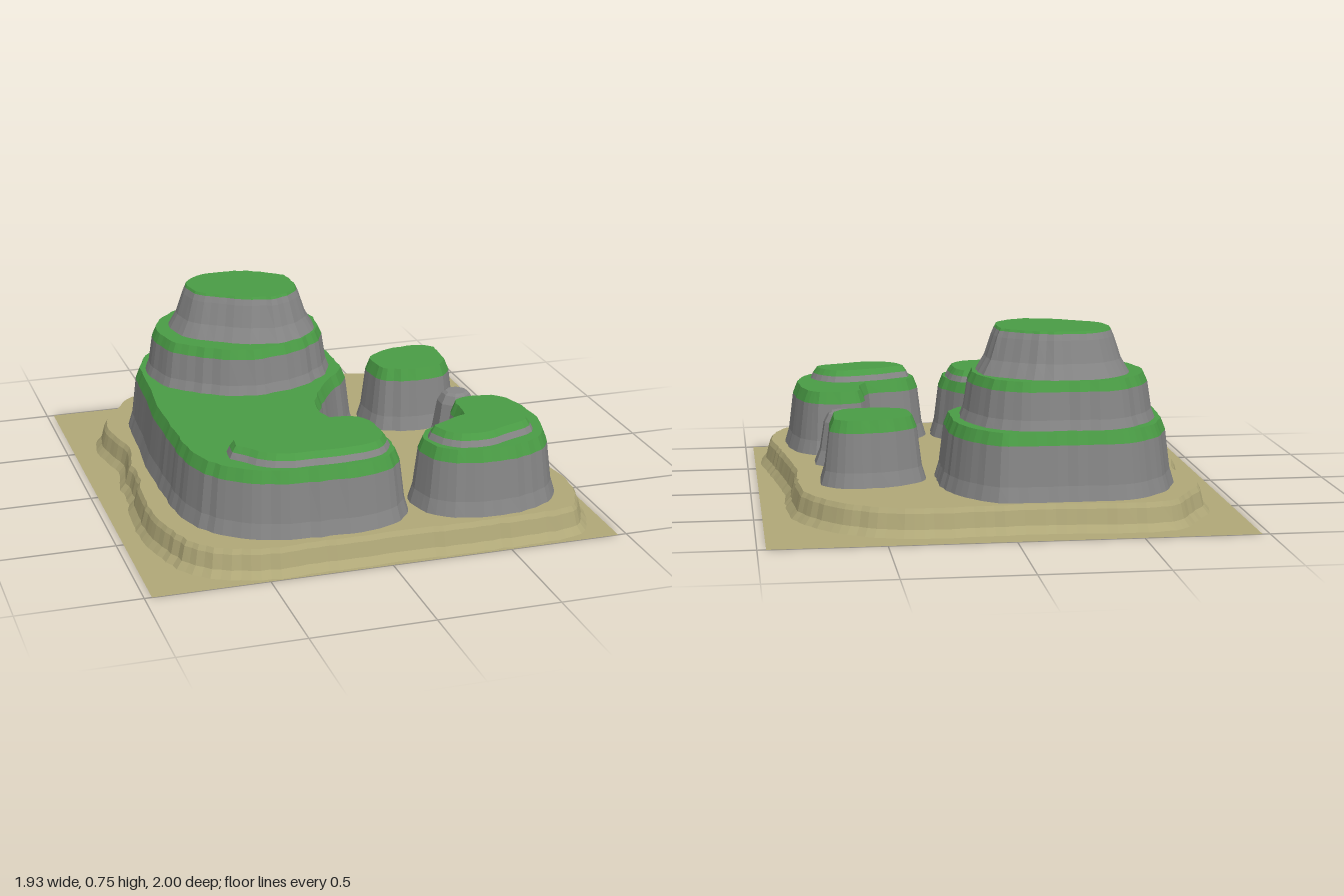
import * as THREE from 'three';

// Outlines in hundredths of a unit, x and z alternating, walked from the back edge towards +x
const OUTLINES = {
  beach: [-65,-89, -8,-89, 11,-90, 43,-90, 61,-82, 74,-70, 83,-55, 86,-34, 86,-2, 89,24, 92,45, 94,66, 90,83, 82,95,
    56,98, -29,98, -45,99, -63,95, -78,85, -84,72, -88,56, -89,29, -86,8, -86,-8, -83,-26, -86,-39, -86,-58, -79,-71],
  plateau: [-47,-82, -24,-82, 3,-81, 11,-75, 18,-66, 23,-53, 24,-34, 23,-21, 13,-7, 6,4, 1,13, -1,24, 1,35, 8,45, 14,55,
    16,66, 14,77, 7,85, -5,89, -39,88, -55,82, -66,73, -72,61, -75,45, -76,24, -76,3, -74,-24, -73,-45, -70,-58, -63,-70, -55,-78],
  middleTier: [-45,-73, -26,-74, -7,-73, 5,-66, 12,-53, 15,-37, 11,-21, 2,-11, -13,-3, -31,-1, -47,-9, -60,-21, -65,-37, -64,-50, -57,-62],
  summit: [-39,-65, -29,-67, -16,-66, -3,-59, 6,-50, 8,-37, 6,-24, -2,-15, -16,-10, -31,-15, -45,-24, -52,-34, -53,-50, -48,-58],
  frontMound: [-31,44, 2,44, 8,51, 9,66, 6,75, -2,80, -24,81, -39,80, -48,74, -56,64, -55,56, -47,49],
  frontIsland: [48,25, 56,22, 67,22, 76,27, 81,40, 83,56, 81,69, 76,80, 64,88, 48,91, 32,88, 22,80, 18,66, 21,58, 29,51, 42,48, 45,40, 45,32],
  islandMound: [34,60, 43,56, 56,52, 64,55, 70,64, 69,72, 58,78, 48,82, 36,81, 29,75, 26,66],
  backIsland: [40,-44, 61,-47, 71,-40, 72,-29, 70,-16, 61,-8, 43,-7, 32,-13, 28,-24, 29,-34],
};

let seed = 7;
const random = () => (seed = (seed * 16807) % 2147483647) / 2147483647;

// Smooth closed outline with a slightly rough edge; each sample keeps its inward normal
function sampleOutline(flat) {
  const points = [];
  for (let i = 0; i < flat.length; i += 2) points.push(new THREE.Vector3(flat[i] / 100, 0, flat[i + 1] / 100));
  const curve = new THREE.CatmullRomCurve3(points, true, 'centripetal');
  const count = Math.round(curve.getLength() / 0.04);
  const samples = [];
  for (let i = 0; i < count; i++) {
    const p = curve.getPointAt(i / count), t = curve.getTangentAt(i / count);
    const rough = (random() - 0.5) * 0.01;
    samples.push({ x: p.x - t.z * rough, z: p.z + t.x * rough, nx: -t.z, nz: t.x });
  }
  return samples;
}

function sampleCircle(cx, cz, radius, sides) {
  return Array.from({ length: sides }, (_, i) => {
    const a = (i + 0.5) / sides * Math.PI * 2, c = Math.cos(a), s = Math.sin(a);
    return { x: cx + c * radius, z: cz + s * radius, nx: -c, nz: -s };
  });
}

const ring = (samples, inset, y) =>
  samples.map(s => new THREE.Vector3(s.x + s.nx * inset, y, s.z + s.nz * inset));

// Faceted wall through a list of [inset, height] steps
function wallGeometry(samples, steps) {
  const rings = steps.map(([inset, y]) => ring(samples, inset, y));
  const corners = [];
  for (let k = 0; k + 1 < rings.length; k++) {
    for (let i = 0; i < samples.length; i++) {
      const j = (i + 1) % samples.length;
      const a = rings[k][i], b = rings[k][j], c = rings[k + 1][j], d = rings[k + 1][i];
      corners.push(a, d, c, a, c, b);
    }
  }
  const geometry = new THREE.BufferGeometry().setFromPoints(corners);
  geometry.computeVertexNormals();
  return geometry;
}

// Level surface with openings where higher parts rise out of it
function capGeometry(outline, holes, y) {
  const flat = pts => pts.map(p => new THREE.Vector2(p.x, -p.z));
  const shape = new THREE.Shape(flat(outline));
  shape.holes = holes.map(h => new THREE.Path(flat(h)));
  return new THREE.ShapeGeometry(shape).rotateX(-Math.PI / 2).translate(0, y, 0);
}

export function createModel() {
  const material = (name, color) => {
    const m = new THREE.MeshStandardMaterial({ color, side: THREE.DoubleSide });
    m.name = name;
    return m;
  };
  const sand = material('sand', 0xb0a878);
  const rock = material('rock', 0x858585);
  const grass = material('grass', 0x4a9c45);

  const model = new THREE.Group();
  model.name = 'terracedIsland';
  const add = (parent, name, geometry, mat) => {
    const mesh = new THREE.Mesh(geometry, mat);
    mesh.name = name;
    parent.add(mesh);
  };

  const edges = {};
  for (const name in OUTLINES) edges[name] = sampleOutline(OUTLINES[name]);
  edges.pillar = sampleCircle(0.605, 0.075, 0.125, 8);

  // One terrace: wall bands from the bottom up, then the level top
  function terrace(name, bands, topMaterial, children = []) {
    const group = new THREE.Group();
    group.name = name;
    bands.forEach(([mat, steps]) => add(group, mat.name + 'Wall', wallGeometry(edges[name], steps), mat));
    const [inset, y] = bands.at(-1)[1].at(-1);
    add(group, topMaterial.name + 'Top',
      capGeometry(ring(edges[name], inset, y), children.map(c => ring(edges[c], 0, y)), y), topMaterial);
    model.add(group);
  }

  const cliff = [[rock, [[0, 0.11], [0.018, 0.17], [0.038, 0.33]]], [grass, [[0.038, 0.33], [0.058, 0.38]]]];
  const mound = [[rock, [[0, 0.38], [0.012, 0.405]]], [grass, [[0.012, 0.405], [0.03, 0.43]]]];

  // Flat ground sheet around the beach
  const corners = [[-0.97, -1], [0.965, -1], [0.965, 1], [-0.97, 1]].map(([x, z]) => new THREE.Vector3(x, 0, z));
  add(model, 'ground', capGeometry(corners, [ring(edges.beach, 0, 0)], 0), sand);

  terrace('beach', [[sand, [[0, 0], [0.025, 0.03], [0.04, 0.09], [0.052, 0.11]]]], sand,
    ['plateau', 'frontIsland', 'backIsland', 'pillar']);
  terrace('plateau', cliff, grass, ['middleTier', 'frontMound']);
  terrace('middleTier', [
    [rock, [[0, 0.38], [0.015, 0.42], [0.032, 0.53]]],
    [grass, [[0.032, 0.53], [0.05, 0.57]]],
  ], grass, ['summit']);
  terrace('summit', [
    [rock, [[0, 0.57], [0.035, 0.63], [0.065, 0.72], [0.076, 0.745]]],
    [grass, [[0.076, 0.745], [0.082, 0.755]]],
  ], grass);
  terrace('frontMound', mound, grass);
  terrace('frontIsland', cliff, grass, ['islandMound']);
  terrace('islandMound', mound, grass);
  terrace('backIsland', cliff, grass);
  terrace('pillar', [[rock, [[0, 0.11], [0.025, 0.17], [0.045, 0.29], [0.065, 0.325], [0.08, 0.335]]]], rock);

  return model;
}
